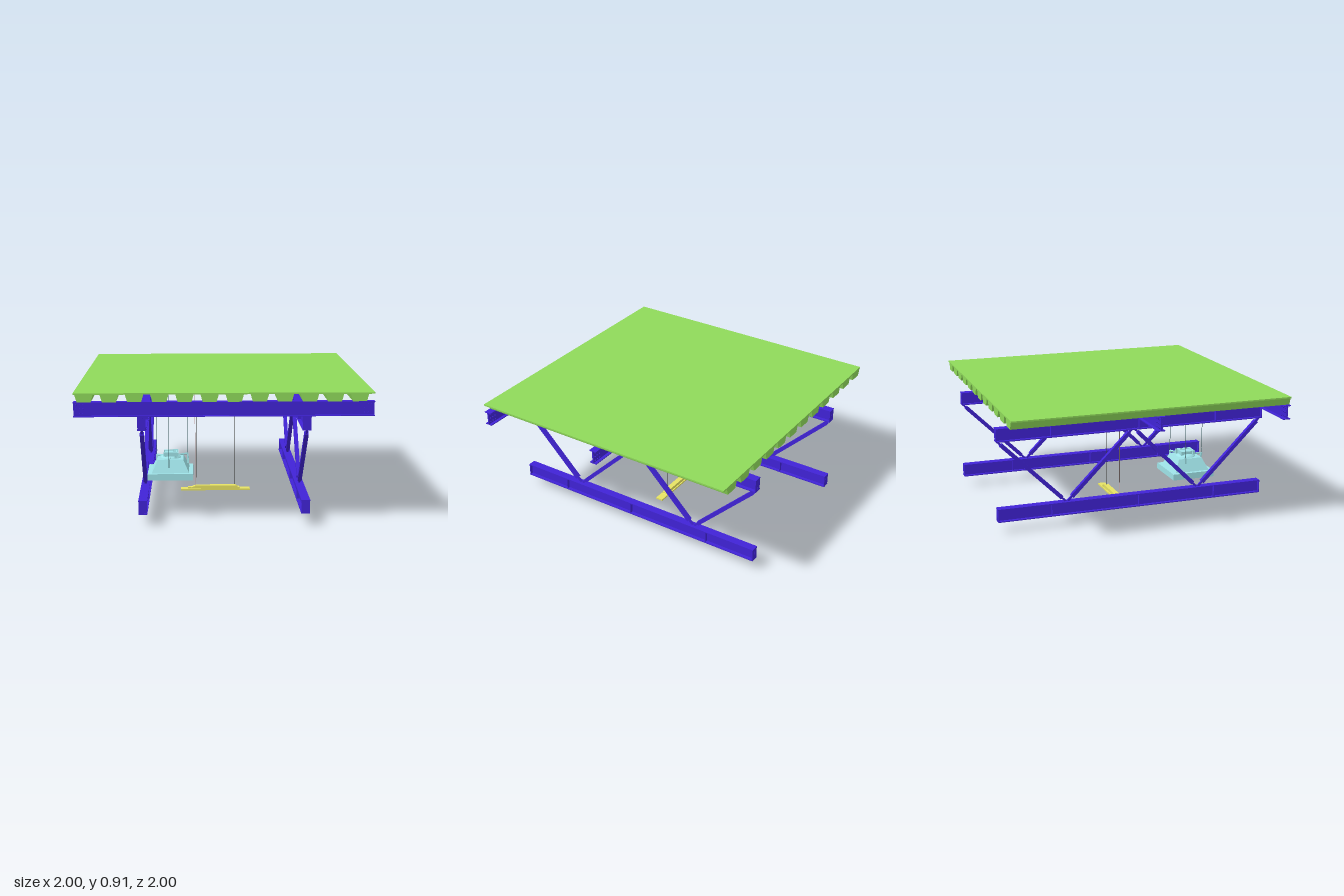
import * as THREE from 'three';

const mat = (color) => new THREE.MeshStandardMaterial({ color });
const GREEN = mat(0x8fd95a), BLUE = mat(0x4023d6), CYAN = mat(0x9fe3e8);
const YELLOW = mat(0xe6e263), TEAL = mat(0x3f6468), DARK = mat(0x3a3a34), PINK = mat(0xc9a9a9);

function add(parent, name, geometry, material, x = 0, y = 0, z = 0) {
  const mesh = new THREE.Mesh(geometry, material);
  mesh.name = name;
  mesh.position.set(x, y, z);
  parent.add(mesh);
  return mesh;
}

function group(parent, name, x = 0, y = 0, z = 0) {
  const g = new THREE.Group();
  g.name = name;
  g.position.set(x, y, z);
  parent.add(g);
  return g;
}

const box = (w, h, d) => new THREE.BoxGeometry(w, h, d);

// Outline swept along z, centred on z = 0
function sweep(points, length) {
  const shape = new THREE.Shape(points.map(([x, y]) => new THREE.Vector2(x, y)));
  const g = new THREE.ExtrudeGeometry(shape, { depth: length, bevelEnabled: false });
  return g.translate(0, 0, -length / 2);
}

// I-section swept along z
function iBeam(w, h, flange, web, length) {
  const a = w / 2, b = h / 2, c = b - flange, t = web / 2;
  return sweep([[-a, -b], [a, -b], [a, -c], [t, -c], [t, c], [a, c],
    [a, b], [-a, b], [-a, c], [-t, c], [-t, -c], [-a, -c]], length);
}

// Straight member between two points, square or round
function strut(parent, name, from, to, material, size, sides = 0) {
  const a = new THREE.Vector3(...from), b = new THREE.Vector3(...to);
  const length = a.distanceTo(b);
  const g = sides ? new THREE.CylinderGeometry(size / 2, size / 2, length, sides) : box(size, length, size);
  const mesh = add(parent, name, g, material);
  mesh.position.copy(a).add(b).multiplyScalar(0.5);
  mesh.quaternion.setFromUnitVectors(new THREE.Vector3(0, 1, 0), b.sub(a).normalize());
  return mesh;
}

// Deck plate carried by tapered ribs
function buildDeck(root) {
  const deck = group(root, 'deck');
  add(deck, 'deckPlate', box(2, 0.01, 2), GREEN, 0, 0.905, 0);
  const rib = sweep([[-0.046, 0.85], [0.046, 0.85], [0.061, 0.901], [-0.061, 0.901]], 2);
  for (let i = 0; i < 12; i++) add(deck, 'deckRib', rib, GREEN, -0.928 + i * 0.166, 0, 0);
}

// Beams across the trusses, bolted at both ends
function buildCrossBeam(root, z) {
  const beam = group(root, 'crossBeam', 0, 0.8, z);
  add(beam, 'crossBeamSection', iBeam(0.054, 0.1, 0.006, 0.01, 2).rotateY(Math.PI / 2), BLUE);
  const bolt = new THREE.CylinderGeometry(0.005, 0.005, 0.026, 8).rotateX(Math.PI / 2);
  for (const side of [-1, 1])
    for (let i = 0; i < 3; i++)
      for (let j = -1; j <= 1; j++) add(beam, 'bolt', bolt, BLUE, side * (0.935 + i * 0.024), j * 0.03, 0);
}

// Side truss: two chords with stiffeners, joined by diagonals
function buildTruss(root, x) {
  const truss = group(root, 'truss', x);
  for (const y of [0.7025, 0.1275]) {
    add(truss, 'chord', iBeam(0.06, 0.095, 0.007, 0.012, 2), BLUE, 0, y, 0);
    for (const z of [0.996, 0.63, 0.04, -0.61, -0.996])
      add(truss, 'stiffener', box(0.056, 0.083, 0.006), BLUE, 0, y, z);
  }
  const top = 0.63, low = 0.205;
  for (const [z1, z2] of [[0.965, 0.54], [0.035, 0.465], [-0.035, -0.46], [-0.965, -0.535]]) {
    strut(truss, 'diagonal', [0, top, z1], [0, low, z2], BLUE, 0.028);
    // thin end tabs reaching the chords
    const s = Math.sign(z2 - z1) * 0.03;
    strut(truss, 'topTab', [0, top, z1], [0, top + 0.03, z1 - s], BLUE, 0.014);
    strut(truss, 'bottomTab', [0, low, z2], [0, low - 0.03, z2 + s], BLUE, 0.014);
  }
}

// Hanging square floodlight
function buildFloodlight(root) {
  const lamp = group(root, 'floodlight', -0.37, 0, 0.485);
  // open rim with a ringed lens inside
  for (const s of [-1, 1]) {
    add(lamp, 'rimSide', box(0.012, 0.045, 0.32), CYAN, s * 0.154, 0.2505, 0);
    add(lamp, 'rimEnd', box(0.296, 0.045, 0.012), CYAN, 0, 0.2505, s * 0.154);
  }
  add(lamp, 'rimTop', box(0.318, 0.01, 0.318), CYAN, 0, 0.2675, 0);
  for (let i = 1; i <= 5; i++)
    add(lamp, 'lensRing', new THREE.TorusGeometry(i * 0.027, 0.004, 6, 32).rotateX(Math.PI / 2), CYAN, 0, 0.255, 0);
  for (let i = -2; i <= 2; i++) add(lamp, 'grilleBar', box(0.3, 0.006, 0.004), CYAN, 0, 0.237, i * 0.05);
  // tapered housing
  const housing = new THREE.CylinderGeometry(0.09 * Math.SQRT2, 0.132 * Math.SQRT2, 0.09, 4, 1).rotateY(Math.PI / 4).toNonIndexed();
  housing.computeVertexNormals();
  add(lamp, 'housing', housing, CYAN, 0, 0.316, 0);
  add(lamp, 'reflectorDome', new THREE.SphereGeometry(0.075, 24, 12, 0, Math.PI * 2, 0, Math.PI / 2).scale(1, 0.4, 1), CYAN, 0, 0.355, 0);
  // driver block and cooling fins on top
  add(lamp, 'driver', box(0.06, 0.04, 0.1), CYAN, -0.01, 0.38, 0);
  for (const s of [-1, 1]) add(lamp, 'driverEnd', box(0.1, 0.03, 0.016), CYAN, 0, 0.39, s * 0.045);
  for (let i = 0; i < 3; i++) add(lamp, 'fin', box(0.006, 0.035, 0.12), CYAN, 0.03 + i * 0.011, 0.385, 0);
  // hanger arms and cables
  for (const [x, z] of [[-0.01, 0.125], [-0.1, -0.045], [0.122, -0.075]]) {
    strut(lamp, 'hangerArm', [0, 0.37, 0], [x, 0.37, z], CYAN, 0.01);
    strut(lamp, 'lugPost', [x, 0.3, z * 0.85], [x, 0.372, z], CYAN, 0.012);
    strut(lamp, 'cable', [x, 0.37, z], [x, 0.86, z], TEAL, 0.004, 6);
  }
}

// Hanging strip light
function buildStripLight(root) {
  const light = group(root, 'stripLight', 0, 0, 0.027);
  add(light, 'tray', box(0.525, 0.012, 0.055), YELLOW, -0.043, 0.006, 0);
  add(light, 'body', sweep([[-0.25, 0.012], [0.145, 0.012], [0.11, 0.035], [-0.19, 0.035]], 0.038), YELLOW);
  for (const x of [-0.24, 0.13]) add(light, 'endClip', box(0.02, 0.012, 0.044), YELLOW, x, 0.017, 0);
  strut(light, 'cable', [0.1, 0.03, 0], [0.1, 0.755, 0], DARK, 0.004, 6);
  strut(light, 'cable', [-0.187, 0.03, 0], [-0.187, 0.755, 0], DARK, 0.003, 6);
  strut(light, 'powerCord', [-0.196, 0.03, 0], [-0.196, 0.755, 0], PINK, 0.004, 6);
}

export function createModel() {
  const root = new THREE.Group();
  root.name = 'deckWithTrussesAndLights';
  buildDeck(root);
  for (const z of [0.972, 0.032]) buildCrossBeam(root, z);
  for (const x of [-0.55, 0.55]) buildTruss(root, x);
  buildFloodlight(root);
  buildStripLight(root);
  return root;
}
